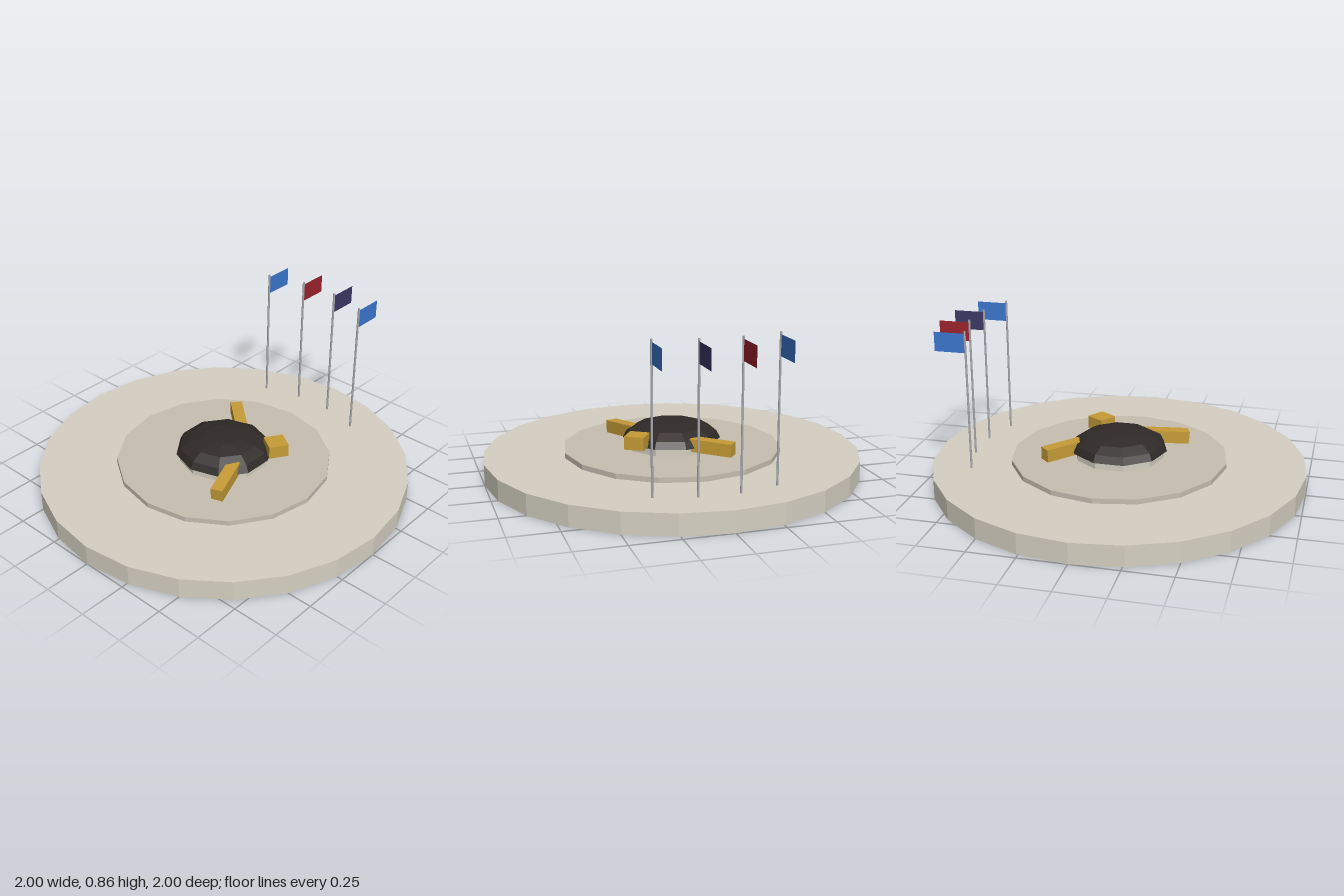
import * as THREE from 'three';

const mat = (color, side = THREE.FrontSide) =>
  new THREE.MeshStandardMaterial({ color, side, flatShading: true });

export function createModel() {
  const model = new THREE.Group();
  model.name = 'monument';

  const stone = mat(0xd5d0c2);
  const rimStone = mat(0xd5d0c2, THREE.DoubleSide);
  const paving = mat(0xc8beb1);
  const dark = mat(0x2f2a28);
  const brass = mat(0xc69c36);
  const steel = mat(0xa6a9ae);
  const grass = mat(0x4c6e2e);

  const add = (name, geometry, material, x = 0, y = 0, z = 0, parent = model) => {
    const mesh = new THREE.Mesh(geometry, material);
    mesh.name = name;
    mesh.position.set(x, y, z);
    parent.add(mesh);
    return mesh;
  };

  // Horizontal disc facing up or down
  const disc = (name, radius, sides, y, facing, material) => {
    const geometry = new THREE.CircleGeometry(radius, sides);
    geometry.rotateX(-facing * Math.PI / 2);
    return add(name, geometry, material, 0, y);
  };

  // Hollow base: thin rim, stone top and a recessed green underside
  const rim = new THREE.CylinderGeometry(1, 1, 0.11, 24, 1, true);
  add('baseRim', rim, rimStone, 0, 0.055);
  disc('baseTop', 1, 24, 0.11, 1, stone);
  disc('underside', 0.99, 32, 0.09, -1, grass);

  // Steps on the base: [name, radius, sides, bottom, top, material]
  const steps = [
    ['pavedStep', 0.58, 16, 0.1, 0.137, paving],
    ['plinth', 0.242, 10, 0.1, 0.178, stone],
  ];
  for (const [name, r, sides, y0, y1, material] of steps) {
    const geometry = new THREE.CylinderGeometry(r, r, y1 - y0, sides, 1, false, Math.PI / 2);
    add(name, geometry, material, 0, (y0 + y1) / 2);
  }

  // Flattened faceted dome, closed underneath
  const domeShape = new THREE.SphereGeometry(0.26, 10, 4, 0, Math.PI * 2, 0, Math.PI / 2);
  domeShape.scale(1, 0.1 / 0.26, 1);
  add('dome', domeShape, dark, 0, 0.177, 0);
  disc('domeUnderside', 0.26, 10, 0.177, -1, dark);

  // Beams reaching out from the dome, between an inner and an outer end point
  const beams = [
    [[0.2, 0.19, -0.05], [0.352, 0.187, -0.222]],
    [[-0.1, 0.194, 0.167], [-0.33, 0.174, 0.25]],
  ];
  for (const [inner, outer] of beams) {
    const a = new THREE.Vector3(...inner);
    const b = new THREE.Vector3(...outer);
    const beam = add('beam', new THREE.BoxGeometry(0.065, 0.068, a.distanceTo(b)), brass);
    beam.position.copy(a).add(b).multiplyScalar(0.5);
    beam.lookAt(b);
  }

  // Short block at the front edge of the dome
  const block = add('block', new THREE.BoxGeometry(0.108, 0.07, 0.105), brass, 0.16, 0.218, 0.234);
  block.rotation.y = -0.57;

  // Row of flagpoles: [x, z, flag colour]
  const flags = [
    [0.73, -0.31, 0x3b78d0],
    [0.785, -0.105, 0x9c222c],
    [0.785, 0.108, 0x3c3866],
    [0.73, 0.315, 0x3b78d0],
  ];
  for (const [x, z, color] of flags) {
    const flagpole = new THREE.Group();
    flagpole.name = 'flagpole';
    flagpole.position.set(x, 0.11, z);
    add('pole', new THREE.CylinderGeometry(0.006, 0.006, 0.75, 8), steel, 0, 0.375, 0, flagpole);
    const cloth = new THREE.PlaneGeometry(0.168, 0.103);
    add('flag', cloth, mat(color, THREE.DoubleSide), 0.084, 0.685, 0, flagpole);
    model.add(flagpole);
  }

  return model;
}
